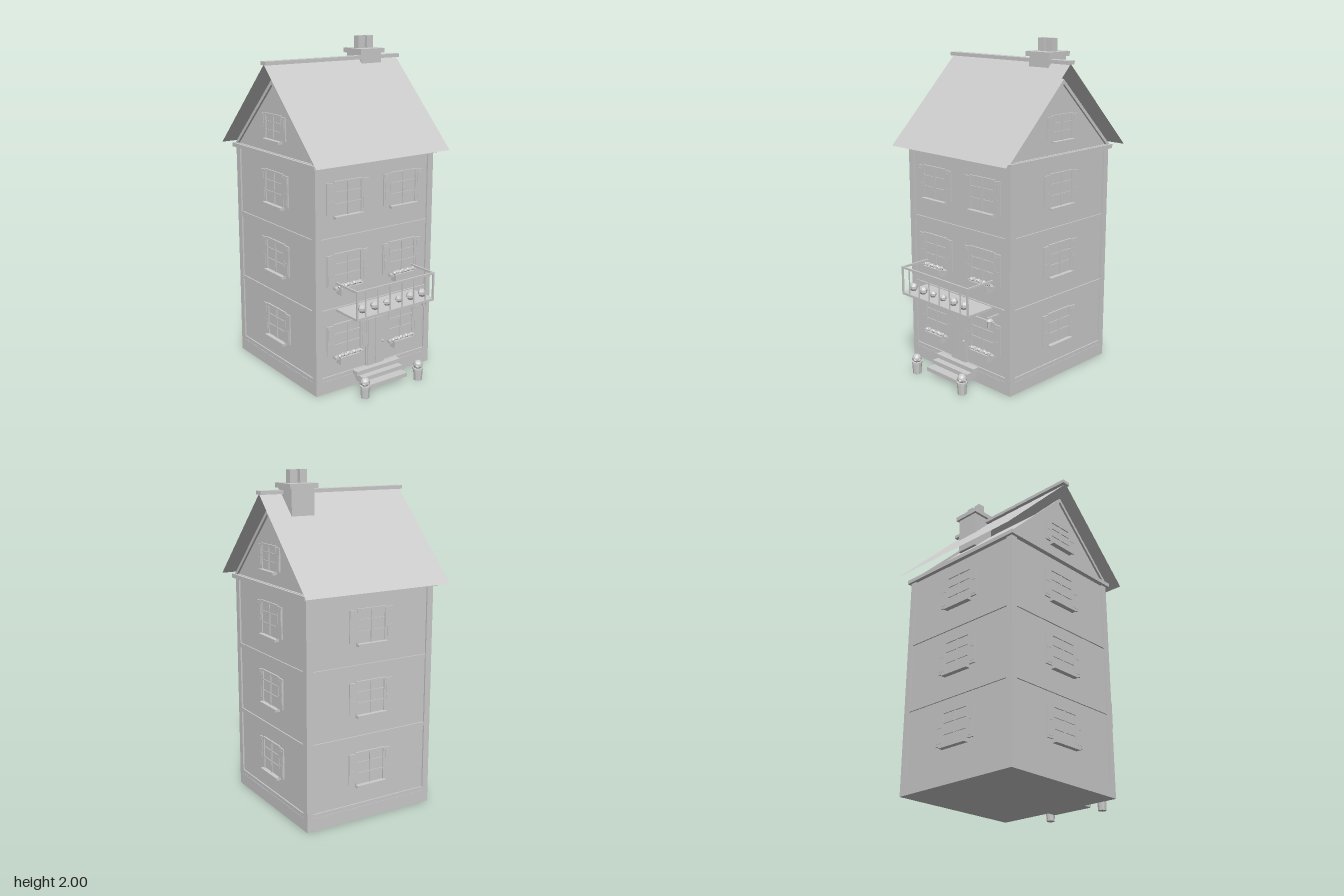
import * as THREE from 'three';

const mat = new THREE.MeshStandardMaterial({ color: 0xcccccc, flatShading: true, side: THREE.DoubleSide });

function add(parent, name, geo, x = 0, y = 0, z = 0) {
  const m = new THREE.Mesh(geo, mat);
  m.name = name;
  m.position.set(x, y, z);
  parent.add(m);
  return m;
}

// Box given by its min/max corners
function box(parent, name, x0, x1, y0, y1, z0, z1) {
  return add(parent, name, new THREE.BoxGeometry(x1 - x0, y1 - y0, z1 - z0),
    (x0 + x1) / 2, (y0 + y1) / 2, (z0 + z1) / 2);
}

function group(parent, name, x = 0, y = 0, z = 0) {
  const g = new THREE.Group();
  g.name = name;
  g.position.set(x, y, z);
  parent.add(g);
  return g;
}

// Shuttered window: origin at the sill centre, facing +z
function addWindow(parent, x, y, z, s = 1, h = 0.2) {
  const g = group(parent, 'window', x, y, z);
  const w = 0.1 * s, t = 0.01;
  box(g, 'glass', -w, w, 0, h, 0, 0.003);
  for (const e of [-1, 1]) {
    const c = e * (w - t / 2);
    box(g, 'windowJamb', c - t / 2, c + t / 2, 0, h, 0, 0.01);
    const sc = e * (w + 0.0225 * s), hw = 0.0225 * s;
    box(g, 'shutter', sc - hw, sc + hw, 0.008, h - 0.007, 0, 0.009);
    for (const f of [0.28, 0.72]) box(g, 'shutterPanel', sc - hw * 0.65, sc + hw * 0.65, h * f - h * 0.17, h * f + h * 0.17, 0.009, 0.011);
  }
  box(g, 'windowHead', -w, w, h - t, h, 0, 0.01);
  box(g, 'mullion', -0.004, 0.004, 0, h, 0, 0.009);
  for (const f of [0.35, 0.68]) box(g, 'glazingBar', -w, w, h * f - 0.003, h * f + 0.003, 0, 0.008);
  box(g, 'windowSill', -w, w, -0.013, 0.002, 0, 0.03);
}

// Window box with a row of small blooms
function addFlowerBox(parent, x, y) {
  const g = group(parent, 'flowerBox', x, y, 0.36);
  box(g, 'trough', -0.075, 0.075, 0, 0.045, 0, 0.045);
  for (let i = 0; i < 8; i++) {
    const b = add(g, 'bloom', new THREE.IcosahedronGeometry(0.014, 0), -0.07 + i * 0.02, 0.05 + (i % 2) * 0.004, 0.026);
    b.rotation.y = i;
  }
}

// Potted shrub beside the steps
function addPlanter(parent, x) {
  const g = group(parent, 'planter', x, 0, 0.535);
  add(g, 'pot', new THREE.CylinderGeometry(0.03, 0.025, 0.07, 10), 0, 0.035, 0);
  add(g, 'potRim', new THREE.CylinderGeometry(0.032, 0.032, 0.012, 10), 0, 0.07, 0);
  add(g, 'shrub', new THREE.IcosahedronGeometry(0.028, 1), 0, 0.097, 0);
  for (let i = 0; i < 5; i++) {
    const a = i * Math.PI * 0.4;
    add(g, 'leafCluster', new THREE.IcosahedronGeometry(0.014, 0), Math.cos(a) * 0.018, 0.09, Math.sin(a) * 0.018);
  }
}

function addHouse(root) {
  const house = group(root, 'house', 0, 0, -0.055);
  const H = 0.425, W = 0.415;
  box(house, 'plinth', -H, H, 0, 0.076, -H, H);
  box(house, 'walls', -W, W, 0.076, 1.34, -W, W);
  box(house, 'cornice', -0.443, 0.443, 1.336, 1.36, -0.44, 0.44);

  for (const sx of [-1, 1]) for (const sz of [-1, 1])
    add(house, 'cornerPost', new THREE.BoxGeometry(0.04, 1.26, 0.04), sx * (H - 0.02), 0.706, sz * (H - 0.02));

  // Four faces: string courses and windows; the front has two windows per floor
  for (let i = 0; i < 4; i++) {
    const side = group(house, ['frontFace', 'leftFace', 'backFace', 'rightFace'][i]);
    side.rotation.y = i * Math.PI / 2;
    for (const [y0, y1] of [[0.076, 0.1], [0.488, 0.514], [0.907, 0.934]])
      box(side, 'trimBand', -0.386, 0.386, y0, y1, W - 0.005, H - 0.002);
    for (const y of [0.215, 0.638, 1.055])
      for (const x of i === 0 ? [-0.2, 0.2] : [0]) addWindow(side, x, y, W);
    if (i % 2) addWindow(side, 0, 1.437, W, 0.88, 0.15);
  }

  // Gable prism with raised barge trim on both ends
  const triangle = (w, y0, y1) => [[-w, y0], [w, y0], [0, y1]].map(p => new THREE.Vector2(...p));
  const attic = new THREE.ExtrudeGeometry(new THREE.Shape(triangle(0.41, 1.36, 1.76)), { depth: 2 * W, bevelEnabled: false });
  attic.translate(0, 0, -W).rotateY(Math.PI / 2);
  add(house, 'gable', attic);
  const trimShape = new THREE.Shape(triangle(0.43, 1.36, 1.782));
  trimShape.holes.push(new THREE.Path(triangle(0.402, 1.362, 1.755)));
  for (const s of [-1, 1]) {
    const trim = new THREE.ExtrudeGeometry(trimShape, { depth: 0.03, bevelEnabled: false });
    trim.translate(0, 0, -0.015).rotateY(Math.PI / 2);
    add(house, 'gableTrim', trim, s * 0.413, 0, 0);
  }

  // Thin roof sheets and ridge cap
  for (const s of [-1, 1]) {
    const sheet = new THREE.PlaneGeometry(0.95, Math.hypot(0.511, 0.512));
    const m = add(house, 'roofSheet', sheet, 0, 1.613, s * 0.2555);
    m.rotation.x = s > 0 ? -Math.PI / 4 : Math.PI + Math.PI / 4;
  }
  box(house, 'ridgeCap', -0.48, 0.48, 1.865, 1.886, -0.027, 0.027);
}

function addChimney(root) {
  const g = group(root, 'chimney');
  box(g, 'stack', 0.19, 0.336, 1.66, 1.9, -0.176, -0.026);
  box(g, 'chimneyCap', 0.174, 0.352, 1.898, 1.926, -0.19, -0.013);
  for (const x of [0.207, 0.27]) box(g, 'chimneyPot', x, x + 0.046, 1.92, 2, -0.125, -0.079);
}

function addBalcony(root) {
  const g = group(root, 'balcony');
  box(g, 'balconyFloor', -0.285, 0.285, 0.494, 0.508, 0.36, 0.565);
  box(g, 'frontRail', -0.285, 0.285, 0.657, 0.669, 0.555, 0.565);
  for (const s of [-1, 1]) {
    add(g, 'sideRail', new THREE.BoxGeometry(0.01, 0.012, 0.2), s * 0.28, 0.663, 0.46);
    add(g, 'railPost', new THREE.BoxGeometry(0.01, 0.16, 0.01), s * 0.28, 0.58, 0.56);
  }
  // Balusters with a round shrub behind each
  for (let i = 0; i < 6; i++) {
    const x = -0.22 + i * 0.088, r = i === 2 || i === 3 ? 0.021 : 0.026;
    add(g, 'baluster', new THREE.BoxGeometry(0.006, 0.155, 0.006), x, 0.58, 0.56);
    add(g, 'balconyShrub', new THREE.SphereGeometry(r, 6, 5), x, 0.546, 0.53);
  }
}

function addEntrance(root) {
  const g = group(root, 'entrance');
  // Double door
  box(g, 'doorFrame', -0.068, 0.068, 0.09, 0.405, 0.355, 0.372);
  for (const s of [-1, 1]) {
    const c = s * 0.029;
    box(g, 'doorLeaf', c - 0.027, c + 0.027, 0.095, 0.393, 0.365, 0.377);
  }
  add(g, 'doorKnob', new THREE.SphereGeometry(0.007, 8, 6), 0.05, 0.235, 0.38);
  // Canopy with brackets and an arched crest
  const canopy = box(g, 'canopy', -0.18, 0.18, 0.46, 0.468, 0.36, 0.51);
  canopy.rotation.x = -0.12;
  add(g, 'canopyCrest', new THREE.CylinderGeometry(0.06, 0.06, 0.012, 16, 1, false, Math.PI / 2, Math.PI)
    .rotateX(Math.PI / 2).scale(1, 0.4, 1), 0, 0.468, 0.5);
  for (const s of [-1, 1]) {
    const b = add(g, 'canopyBracket', new THREE.BoxGeometry(0.012, 0.012, 0.1), s * 0.165, 0.446, 0.395);
    b.rotation.x = -0.5;
    add(g, 'bracketFoot', new THREE.BoxGeometry(0.012, 0.05, 0.012), s * 0.165, 0.447, 0.366);
  }
  // Hanging lamp on a wall arm
  box(g, 'lampArm', 0.32, 0.33, 0.47, 0.478, 0.36, 0.45);
  add(g, 'lampBody', new THREE.CylinderGeometry(0.017, 0.012, 0.045, 6), 0.325, 0.435, 0.432);
  add(g, 'lampCap', new THREE.CylinderGeometry(0.005, 0.024, 0.015, 6), 0.325, 0.465, 0.432);
  // Steps
  [[0.024, 0.048, 0.507, 0.14], [0.048, 0.073, 0.45, 0.15], [0.073, 0.098, 0.41, 0.163]].forEach(
    ([y0, y1, z, w]) => box(g, 'step', -w, w, y0, y1, 0.365, z));
}

export function createModel() {
  const root = new THREE.Group();
  root.name = 'townhouse';
  addHouse(root);
  addChimney(root);
  addBalcony(root);
  addEntrance(root);
  for (const x of [-0.2, 0.2]) {
    for (const y of [0.17, 0.595]) addFlowerBox(root, x, y);
    addPlanter(root, x);
  }
  return root;
}
